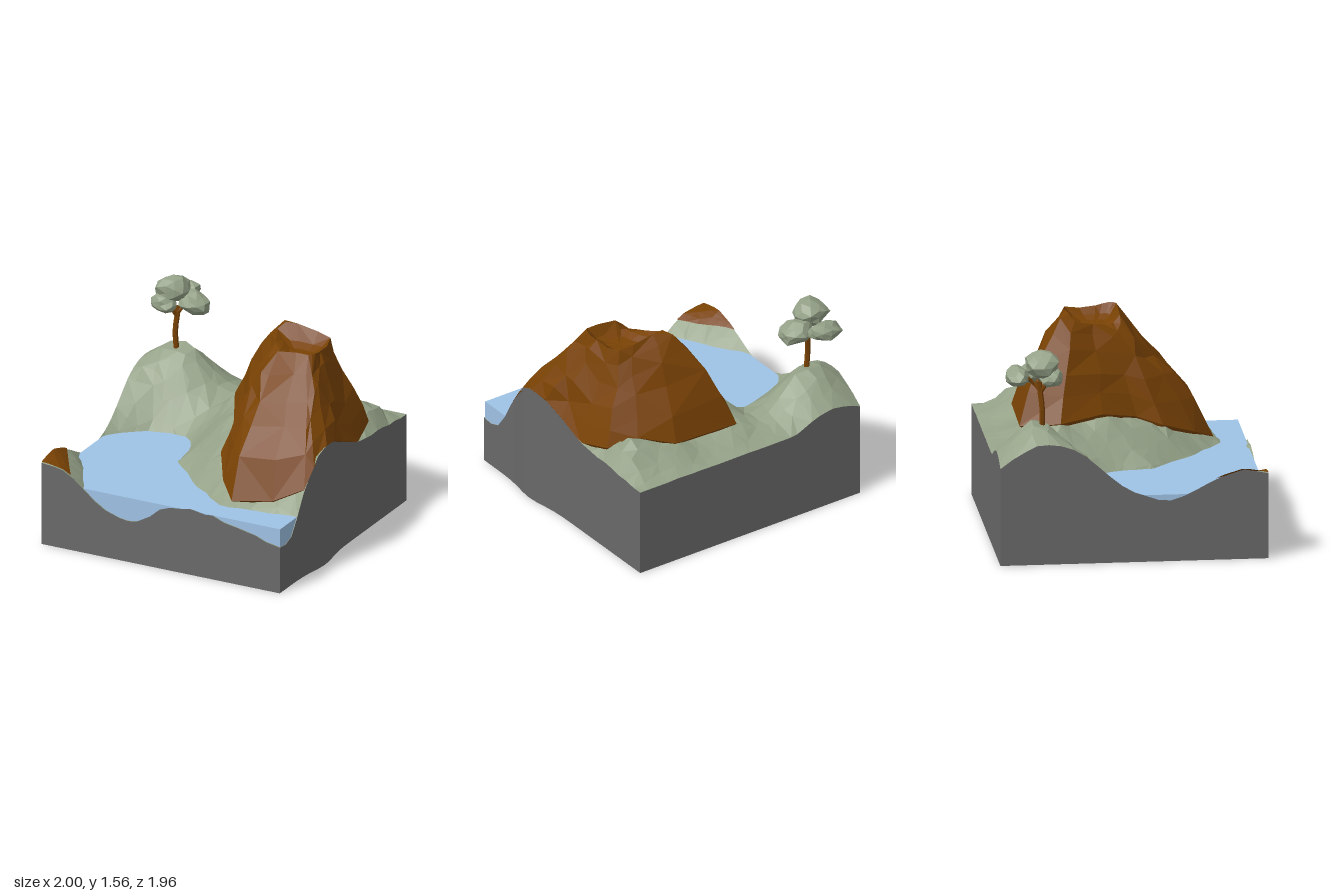
import * as THREE from 'three';

const mat = (name, color, flatShading = true) =>
  Object.assign(new THREE.MeshStandardMaterial({ color, flatShading, side: THREE.DoubleSide }), { name });

// repeatable noise in -1..1
const noise = (i, j = 0) => {
  const s = Math.sin(i * 127.1 + j * 311.7 + 4.3) * 43758.5453;
  return (s - Math.floor(s)) * 2 - 1;
};

const X0 = -1, X1 = 0.96, Z0 = -0.98, Z1 = 0.98, WATER = 0.5;

// Mountain foot [x, y, z, convexity, shoulder] and crater rim [x, y, z], matching points, anticlockwise from the left
const FOOT = [[-.17, .82, -.45, 1.3, 0], [0, .84, -.12, 1.2, 0], [.13, .78, .14, 1.2, 0], [.13, .71, .33, 1.2, 0],
  [.28, .61, .58, 1.25, .04], [.43, .53, .73, 1.25, .06], [.74, .57, .68, 1.25, .06], [.965, .68, .61, 1.1, .04],
  [.987, .82, .5, 1, 0], [1, .93, .33, .97, 0], [.985, .91, .17, 1.05, 0], [.965, .835, 0, 1.1, 0],
  [.96, .74, -.23, 1, 0], [.91, .8, -.49, .95, 0], [.72, .88, -.61, 1.1, 0], [.47, .81, -.74, 1.4, 0],
  [-.07, .79, -.74, 1.7, 0]];
const RIM = [[.26, 1.47, -.3], [.32, 1.43, -.16], [.34, 1.4, -.06], [.35, 1.37, .02], [.39, 1.41, .05],
  [.45, 1.46, .05], [.6, 1.48, .05], [.7, 1.48, .05], [.72, 1.48, .03], [.73, 1.48, 0], [.73, 1.47, -.05],
  [.72, 1.46, -.1], [.71, 1.45, -.22], [.68, 1.47, -.33], [.57, 1.49, -.35], [.4, 1.52, -.35], [.31, 1.52, -.34]];

// Height profiles along the four cut sides: [position, height]
const FRONT = [[-1, .64], [-.9, .63], [-.8, .61], [-.7, .54], [-.6, .45], [-.5, .38], [-.4, .34], [-.27, .32],
  [-.18, .34], [-.1, .4], [0, .49], [.1, .5], [.22, .52], [.4, .505], [.5, .465], [.6, .45], [.75, .42], [.85, .38], [.96, .36]];
const RIGHT = [[-.98, .68], [-.85, .682], [-.7, .69], [-.57, .7], [-.45, .715], [-.34, .727], [-.1, .79], [.08, .875],
  [.25, .925], [.42, .92], [.68, .55], [.75, .44], [.8, .38], [.88, .35]];
const BACK = [[-1, .73], [-.85, .78], [-.67, .78], [-.5, .71], [-.42, .68], [-.25, .68], [-.1, .68], [.1, .68],
  [.3, .68], [.5, .68], [.7, .68], [.85, .68]];
const LEFT = [[-.8, .85], [-.62, .9], [-.4, .84], [-.2, .67], [-.05, .55], [.08, .5], [.22, .46], [.38, .5],
  [.5, .56], [.65, .63], [.8, .675]];

// Shoreline [x, z]
const SHORE = [[-.91, -.07], [-.75, -.2], [-.52, -.25], [-.42, -.21], [-.33, -.06], [-.33, .19], [-.08, .4], [.2, .62],
  [.43, .78], [.87, .71], [-.86, .58], [-.76, .8], [-.67, .93]];

// Hills, valley and lake bed [x, y, z]
const INNER = [[-.78, 1.04, -.7], [-.65, 1.02, -.68], [-.9, .98, -.68], [-.5, .87, -.7], [-.38, .77, -.74],
  [-.32, .74, -.77], [-.24, .725, -.8], [-.27, .7, -.52], [-.75, .8, -.42], [-.5, .7, -.42], [-.9, .8, -.35],
  [-.62, .86, -.87], [-.85, .88, -.88], [-.3, .65, -.36], [-.2, .63, -.05], [-.08, .62, .2], [.3, .7, -.87],
  [.75, .72, -.85], [-.1, .7, -.88], [.87, .82, -.73], [.83, .9, -.6], [.5, .68, 0], [.5, .6, .35], [.3, .72, -.4],
  [-.72, .09, .2], [-.62, .15, .42], [-.47, .25, .68], [-.5, .25, .05], [-.8, .14, .27], [-.1, .38, .75],
  [.15, .45, .84], [.31, .46, .91], [.55, .43, .88], [.8, .37, .86]];

// Linear radial interpolation through all control heights
function makeHeight() {
  const p = [...FOOT, ...INNER, ...SHORE.map(([x, z]) => [x, WATER, z]),
    ...FRONT.map(([x, y]) => [x, y, Z1]), ...BACK.map(([x, y]) => [x, y, Z0]),
    ...RIGHT.map(([z, y]) => [X1, y, z]), ...LEFT.map(([z, y]) => [X0, y, z])];
  const n = p.length, base = 0.6;
  const m = p.map(a => [...p.map(b => Math.hypot(a[0] - b[0], a[2] - b[2])), a[1] - base]);
  for (let c = 0; c < n; c++) {
    let k = c;
    for (let r = c; r < n; r++) if (Math.abs(m[r][c]) > Math.abs(m[k][c])) k = r;
    [m[c], m[k]] = [m[k], m[c]];
    for (let r = 0; r < n; r++) {
      if (r === c) continue;
      const f = m[r][c] / m[c][c];
      for (let j = c; j <= n; j++) m[r][j] -= f * m[c][j];
    }
  }
  const w = m.map((row, i) => row[n] / row[i]);
  return (x, z) => p.reduce((s, a, i) => s + w[i] * Math.hypot(x - a[0], z - a[2]), base);
}

// Surface through rows of points; closed joins each row end to its start
function loft(rows, closed = false) {
  const n = rows[0].length, index = [];
  for (let r = 0; r < rows.length - 1; r++) {
    for (let i = 0; i < (closed ? n : n - 1); i++) {
      const a = r * n + i, b = r * n + (i + 1) % n, c = b + n, d = a + n;
      if ((r + i) % 2) index.push(a, b, c, a, c, d);
      else index.push(a, b, d, b, c, d);
    }
  }
  const g = new THREE.BufferGeometry();
  g.setAttribute('position', new THREE.Float32BufferAttribute(rows.flat(2), 3));
  g.setIndex(index);
  g.computeVertexNormals();
  return g;
}

export function createModel() {
  const model = new THREE.Group();
  model.name = 'islandDiorama';
  const green = mat('mossGreen', 0x95a288), brown = mat('rustBrown', 0x794204);
  const grey = mat('stoneGrey', 0x696969, false), blue = mat('waterBlue', 0x9fc3e6);
  const add = (name, geometry, material, parent = model) => {
    const mesh = new THREE.Mesh(geometry, material);
    mesh.name = name;
    parent.add(mesh);
    return mesh;
  };
  const height = makeHeight();

  // Ground: jittered low-poly height field; the right side bulges slightly
  const N = 22, rows = [];
  for (let j = N; j >= 0; j--) {
    const row = [];
    for (let i = 0; i <= N; i++) {
      const edgeX = i === 0 || i === N, edgeZ = j === 0 || j === N;
      const x = X0 + (X1 - X0) * (i + (edgeX ? 0 : .3 * noise(i, j))) / N;
      const z = Z0 + (Z1 - Z0) * (j + (edgeX || edgeZ ? 0 : .3 * noise(j + 50, i))) / N;
      const bulge = .04 * Math.max(0, (x - .8) / .16) * Math.exp(-(((z - .35) / .2) ** 2));
      row.push([x + bulge, height(x, z), z]);
    }
    rows.push(row);
  }
  add('ground', loft(rows), green);

  // Cut side walls, open underneath
  const wall = (name, top) => add(name, loft([top.map(([x, , z]) => [x, 0, z]), top]), grey);
  wall('frontWall', rows[0]);
  wall('rightWall', rows.map(r => r[N]));
  wall('backWall', [...rows[N]].reverse());
  wall('leftWall', rows.map(r => r[0]).reverse());

  // Lake: open-bottomed box, so its lower face is dropped
  const lake = new THREE.BoxGeometry(1.95, .22, 1.945);
  const faces = [...lake.index.array];
  faces.splice(18, 6);
  lake.setIndex(faces);
  lake.clearGroups();
  add('water', lake, blue).position.set(-.018, WATER - .11, -.005);

  // Mountain: buried foot, flanks, rim and sunken crater
  const flank = (u, k) => FOOT.map(([x, y, z, convexity, shoulder], i) => {
    const t = RIM[i], j = u > 0 && u < 1 ? .018 : 0;
    const rise = 1 - (1 - u) ** convexity + shoulder * Math.sin(2 * Math.PI * u);
    return [x + (t[0] - x) * u + j * noise(i, k), y + (t[1] - y) * rise + j * noise(i + 20, k),
      z + (t[2] - z) * u + j * noise(i + 40, k)];
  });
  const crater = (s, y) => RIM.map(([x, , z], i) =>
    [.54 + (x - .54) * s, y + .012 * s * noise(i, 9), -.13 + (z + .13) * s]);
  add('mountain', loft([
    FOOT.map(([x, y, z]) => [.45 + (x - .45) * .97, y - .025, z * .97]),
    ...[0, .2, .42, .65, .84, 1].map(flank),
    crater(.72, 1.41), crater(.45, 1.38), crater(0, 1.375),
  ], true), brown);

  // Bare earth on the front left corner
  const patch = [];
  for (let r = 0; r <= 6; r++) {
    const z = .59 + .39 * r / 6, row = [];
    for (let i = 0; i <= 4; i++) {
      const x = -1 + .24 * (r / 6) * (i / 4);
      row.push([x, height(x, z) + .009, z]);
    }
    patch.unshift(row);
  }
  add('earthPatch', loft(patch), brown);

  // Tree
  const tree = new THREE.Group();
  tree.name = 'tree';
  model.add(tree);
  const limb = (name, r, ...pts) => add(name, new THREE.TubeGeometry(
    new THREE.CatmullRomCurve3(pts.map(p => new THREE.Vector3(...p))), 5, r, 6), brown, tree);
  limb('trunk', .02, [-.755, .97, -.65], [-.767, 1.12, -.65], [-.757, 1.25, -.665], [-.76, 1.31, -.67]);
  limb('frontBranch', .014, [-.757, 1.23, -.66], [-.78, 1.29, -.63], [-.81, 1.36, -.6]);
  limb('backBranch', .014, [-.757, 1.24, -.66], [-.74, 1.3, -.71], [-.76, 1.37, -.78]);
  limb('leftBranch', .014, [-.757, 1.26, -.66], [-.71, 1.31, -.68], [-.65, 1.35, -.69]);

  // Leaf clumps: [name, centre, half sizes, sideways tilt]
  const clumps = [
    ['topFoliage', [-.785, 1.45, -.655], [.135, .1, .13], 0],
    ['backFoliage', [-.79, 1.37, -.83], [.13, .07, .09], .1],
    ['leftFoliage', [-.635, 1.355, -.69], [.13, .08, .11], -.25],
    ['frontFoliage', [-.82, 1.355, -.58], [.1, .065, .085], 0],
  ];
  clumps.forEach(([name, pos, size, tilt], k) => {
    const g = new THREE.IcosahedronGeometry(1, 1), p = g.attributes.position, v = new THREE.Vector3();
    for (let i = 0; i < p.count; i++) {
      v.fromBufferAttribute(p, i);
      const key = Math.round(v.x * 50) + Math.round(v.y * 50) * 3 + Math.round(v.z * 50) * 7;
      v.multiplyScalar(1 + .15 * noise(key, k));
      p.setXYZ(i, v.x, v.y, v.z);
    }
    g.scale(...size).rotateZ(tilt);
    g.computeVertexNormals();
    add(name, g, green, tree).position.set(...pos);
  });
  return model;
}
